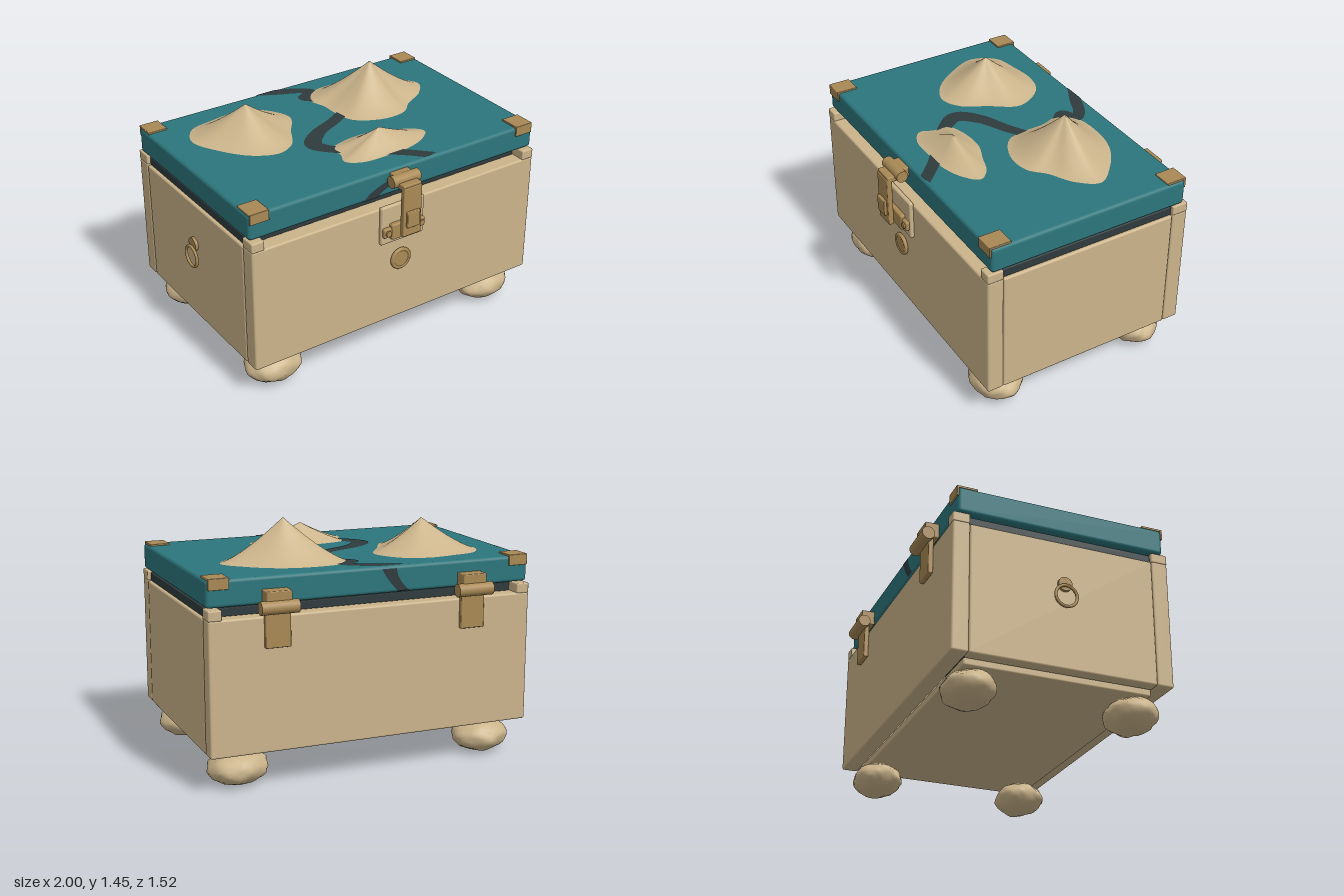
import * as THREE from 'three';
import { mergeVertices } from 'three/addons/utils/BufferGeometryUtils.js';
import { RoundedBoxGeometry } from 'three/addons/geometries/RoundedBoxGeometry.js';

const material = (name, color, side = THREE.FrontSide) => {
  const m = new THREE.MeshStandardMaterial({ color, side });
  m.name = name;
  return m;
};

export function createModel() {
  const model = new THREE.Group();
  model.name = 'chest';
  const sand = material('sand', 0xcbb48b);
  const teal = material('teal', 0x2c767c);
  const brass = material('brass', 0xa98955);
  const dark = material('charcoal', 0x2f3b3d, THREE.DoubleSide);

  const add = (name, geometry, mat, parent = model) => {
    const mesh = new THREE.Mesh(geometry, mat);
    mesh.name = name;
    parent.add(mesh);
    return mesh;
  };
  // Rounded box given by its limits on each axis
  const box = (name, mat, [x0, x1], [y0, y1], [z0, z1], r = 0.006, parent = model) => {
    const w = x1 - x0, h = y1 - y0, d = z1 - z0;
    const geo = new RoundedBoxGeometry(w, h, d, 2, Math.min(r, Math.min(w, h, d) * 0.45));
    const mesh = add(name, geo, mat, parent);
    mesh.position.set((x0 + x1) / 2, (y0 + y1) / 2, (z0 + z1) / 2);
    return mesh;
  };
  // Cylinder lying along x or z
  const rod = (name, axis, r, length, x, y, z, parent = model) => {
    const geo = new THREE.CylinderGeometry(r, r, length, 28);
    if (axis === 'x') geo.rotateZ(Math.PI / 2);
    else geo.rotateX(Math.PI / 2);
    const mesh = add(name, geo, brass, parent);
    mesh.position.set(x, y, z);
    return mesh;
  };

  // Body panels, base and dark inner rim
  box('frontPanel', sand, [-0.965, 1], [0.22, 0.995], [0.53, 0.63], 0.012);
  box('backPanel', sand, [-0.965, 1], [0.22, 0.995], [-0.68, -0.58], 0.012);
  box('rightPanel', sand, [-0.965, -0.885], [0.22, 0.99], [-0.58, 0.53], 0.012);
  box('leftPanel', sand, [0.92, 1], [0.22, 0.99], [-0.58, 0.53], 0.012);
  box('basePlate', sand, [-0.885, 0.915], [0.185, 0.23], [-0.58, 0.53], 0.01);
  box('innerRim', dark, [-0.945, 0.98], [0.95, 1.04], [-0.58, 0.53], 0.005);
  for (const x of [[-0.965, -0.885], [0.92, 1]])
    for (const z of [[0.53, 0.63], [-0.68, -0.58]]) box('rimCorner', sand, x, [0.99, 1.05], z, 0.008);

  // Lid with corner caps
  const lid = new THREE.Group();
  lid.name = 'lid';
  model.add(lid);
  box('lidSlab', teal, [-0.965, 1], [1.055, 1.21], [-0.65, 0.605], 0.02, lid);
  for (const x of [[-0.96, -0.84], [0.87, 0.99]]) {
    box('cornerCapTop', brass, x, [1.205, 1.22], [0.48, 0.612], 0.004, lid);
    box('cornerCapFront', brass, x, [1.155, 1.22], [0.6, 0.613], 0.004, lid);
    box('cornerCapTop', brass, x, [1.205, 1.22], [-0.658, -0.535], 0.004, lid);
    box('cornerCapBack', brass, x, [1.155, 1.22], [-0.659, -0.645], 0.004, lid);
  }

  // Hills: rings shrinking from an irregular outline to a peak
  const hill = (name, px, pz, height, outline) => {
    const curve = new THREE.CatmullRomCurve3(outline.map(([x, z]) => new THREE.Vector3(x, 0, z)), true);
    const rim = curve.getPoints(72).slice(0, 72), rings = 14, n = 72;
    const pos = [], idx = [];
    for (let i = 0; i <= rings; i++) {
      const t = 1 - i / rings;
      for (const p of rim)
        pos.push(px + (p.x - px) * t, 1.207 + height * Math.pow(1 - t, 1.35), pz + (p.z - pz) * t);
    }
    for (let i = 0; i < rings; i++)
      for (let j = 0; j < n; j++) {
        const a = i * n + j, b = i * n + (j + 1) % n, c = a + n, d = b + n;
        idx.push(a, c, b);
        if (i < rings - 1) idx.push(b, c, d);
      }
    const geo = new THREE.BufferGeometry();
    geo.setAttribute('position', new THREE.Float32BufferAttribute(pos, 3));
    geo.setIndex(idx);
    geo.computeVertexNormals();
    // Outlines run clockwise seen from above, so flip the faces upward
    if (geo.attributes.normal.getY(n) < 0) {
      geo.setIndex(idx.reverse());
      geo.computeVertexNormals();
    }
    add(name, geo, sand, lid);
  };
  hill('rightHill', -0.48, -0.23, 0.195, [[-0.73, -0.46], [-0.58, -0.5], [-0.4, -0.52], [-0.25, -0.47],
    [-0.14, -0.28], [-0.24, -0.1], [-0.33, 0.05], [-0.45, 0.105], [-0.6, 0.04], [-0.73, -0.12], [-0.81, -0.31]]);
  hill('leftHill', 0.4, -0.23, 0.248, [[0.14, -0.5], [0.36, -0.52], [0.52, -0.48], [0.68, -0.37], [0.79, -0.23],
    [0.7, -0.1], [0.56, -0.02], [0.46, 0.065], [0.3, 0.075], [0.13, -0.02], [0.095, -0.16], [0.09, -0.28], [0.06, -0.4]]);
  hill('frontHill', 0.08, 0.32, 0.118, [[-0.19, 0.21], [-0.08, 0.16], [0.1, 0.15], [0.24, 0.2], [0.37, 0.25],
    [0.43, 0.325], [0.36, 0.4], [0.22, 0.455], [0.05, 0.465], [-0.13, 0.455], [-0.22, 0.39], [-0.19, 0.3]]);

  // Winding river painted on the lid top
  const path = new THREE.CatmullRomCurve3([[-0.16, -0.67], [-0.04, -0.605], [0.09, -0.545], [0.14, -0.49],
    [0.06, -0.445], [0.14, -0.35], [0.2, -0.2], [0.06, -0.09], [-0.14, 0.01], [-0.235, 0.12], [-0.17, 0.23],
    [0, 0.37], [0.14, 0.48], [0.27, 0.61]].map(([x, z]) => new THREE.Vector3(x, 0, z)));
  const riverPos = [], riverIdx = [];
  for (let i = 0; i <= 120; i++) {
    const p = path.getPoint(i / 120), t = path.getTangent(i / 120);
    const w = 0.036 + 0.016 * Math.exp(-Math.pow((p.z - 0.1) / 0.12, 2));
    for (const s of [-1, 1])
      riverPos.push(p.x - s * t.z * w, 1.213, THREE.MathUtils.clamp(p.z + s * t.x * w, -0.64, 0.595));
    if (i < 120) riverIdx.push(2 * i, 2 * i + 2, 2 * i + 1, 2 * i + 1, 2 * i + 2, 2 * i + 3);
  }
  const river = new THREE.BufferGeometry();
  river.setAttribute('position', new THREE.Float32BufferAttribute(riverPos, 3));
  river.setIndex(riverIdx);
  river.setAttribute('normal', new THREE.Float32BufferAttribute(riverPos.map((_, i) => (i % 3 === 1 ? 1 : 0)), 3));
  // Make the top face the front one so it is lit as a flat surface
  const [a, b, c] = [0, 1, 2].map((k) => new THREE.Vector3().fromArray(riverPos, riverIdx[k] * 3));
  if (b.sub(a).cross(c.sub(a)).y < 0) river.setIndex(riverIdx.reverse());
  add('river', river, dark, lid);

  // River continuing down the front and back edges of the lid
  const front = new THREE.Shape();
  front.moveTo(-0.22, 1.062);
  front.quadraticCurveTo(-0.2, 1.11, -0.05, 1.15);
  front.lineTo(0.04, 1.16);
  front.lineTo(0.04, 1.125);
  front.quadraticCurveTo(-0.09, 1.11, -0.13, 1.062);
  add('riverFrontEdge', new THREE.ShapeGeometry(front), dark, lid).position.z = 0.607;
  const back = new THREE.Shape();
  back.moveTo(0.03, 1.195);
  back.lineTo(0.12, 1.195);
  back.quadraticCurveTo(0.13, 1.12, 0.2, 1.065);
  back.lineTo(0.13, 1.065);
  back.quadraticCurveTo(0.07, 1.12, 0.03, 1.195);
  const backEdge = add('riverBackEdge', new THREE.ShapeGeometry(back), dark, lid);
  backEdge.rotation.y = Math.PI;
  backEdge.position.z = -0.652;

  // Front latch
  const latch = new THREE.Group();
  latch.name = 'latch';
  model.add(latch);
  box('latchPlate', sand, [-0.135, 0.165], [0.765, 1.01], [0.625, 0.655], 0.012, latch);
  box('latchKeeper', brass, [-0.08, 0.107], [0.8, 0.9], [0.65, 0.685], 0.01, latch);
  box('latchKeeperWing', brass, [-0.13, 0.157], [0.82, 0.88], [0.65, 0.678], 0.01, latch);
  for (const x of [-0.102, 0.13]) rod('latchScrew', 'z', 0.018, 0.03, x, 0.85, 0.672, latch);
  box('latchStrap', brass, [-0.048, 0.076], [0.84, 1.15], [0.712, 0.745], 0.006, latch);
  box('latchTab', brass, [-0.03, 0.056], [0.9, 1.0], [0.74, 0.762], 0.005, latch);
  box('latchArm', brass, [-0.048, 0.076], [1.13, 1.165], [0.65, 0.74], 0.006, latch);
  rod('latchBarrel', 'x', 0.036, 0.185, 0.013, 1.165, 0.66, latch);
  box('latchMount', brass, [-0.048, 0.076], [1.135, 1.195], [0.6, 0.66], 0.006, latch);

  // Round boss below the latch
  rod('boss', 'z', 0.058, 0.026, 0.015, 0.63, 0.638);
  add('bossRing', new THREE.TorusGeometry(0.058, 0.012, 12, 40), brass).position.set(0.015, 0.63, 0.643);

  // Back hinges
  for (const x of [-0.58, 0.61]) {
    const hinge = new THREE.Group();
    hinge.name = 'hinge';
    model.add(hinge);
    rod('hingeBarrel', 'x', 0.038, 0.22, x, 1.05, -0.722, hinge);
    box('hingeTopLeaf', brass, [x - 0.074, x + 0.074], [1.05, 1.14], [-0.73, -0.645], 0.006, hinge);
    box('hingeLowerLeaf', brass, [x - 0.074, x + 0.074], [0.82, 1.04], [-0.708, -0.678], 0.006, hinge);
  }

  // Ring pull on the right side
  const boss = rod('ringMount', 'x', 0.042, 0.022, -0.972, 0.725, -0.025);
  boss.scale.x = 1;
  const ring = add('ringPull', new THREE.TorusGeometry(0.064, 0.009, 10, 40), brass);
  ring.rotation.y = Math.PI / 2;
  ring.position.set(-0.99, 0.648, -0.025);

  // Lumpy stone feet
  const foot = (seed) => {
    let geo = new THREE.IcosahedronGeometry(1, 5);
    geo.deleteAttribute('normal');
    geo.deleteAttribute('uv');
    geo = mergeVertices(geo, 1e-4);
    const p = geo.attributes.position, v = new THREE.Vector3();
    for (let i = 0; i < p.count; i++) {
      v.fromBufferAttribute(p, i);
      const bump = Math.sin(v.x * 5 + seed) * Math.sin(v.y * 4 + seed * 2) * Math.cos(v.z * 5 - seed)
        + 0.5 * Math.sin(v.x * 9 - seed) * Math.cos(v.z * 10 + v.y * 8 + seed);
      v.multiplyScalar(0.98 + 0.06 * bump);
      p.setXYZ(i, v.x * 0.177, Math.max(v.y * 0.1, -0.102), v.z * 0.15);
    }
    geo.computeVertexNormals();
    return geo;
  };
  [[-0.757, 0.46], [0.79, 0.46], [-0.757, -0.505], [0.79, -0.505]].forEach(([x, z], i) => {
    add('foot', foot(i * 1.7 + 1), sand).position.set(x, 0.102, z);
  });

  return model;
}
